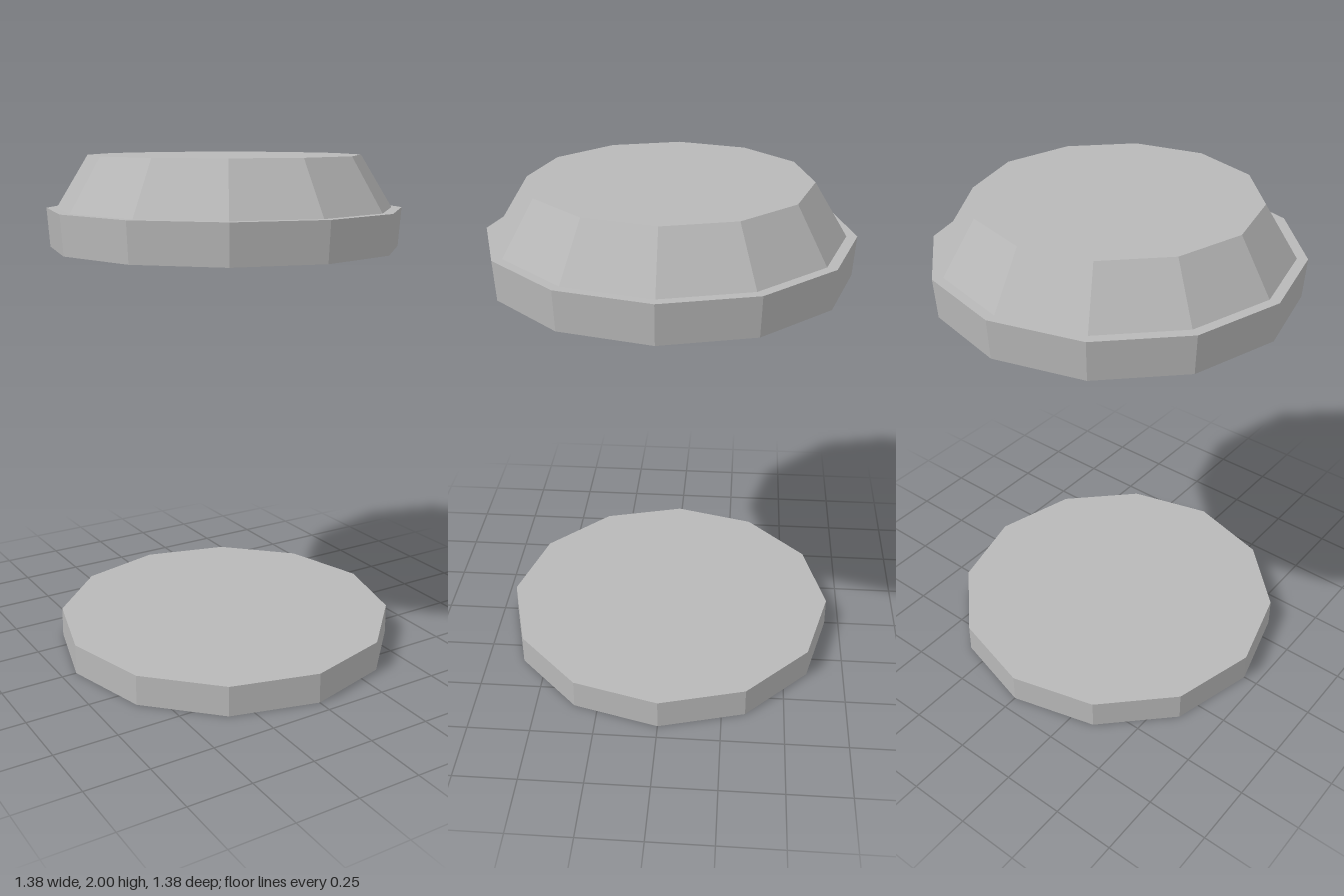
import * as THREE from 'three';

const SIDES = 12;
const metal = new THREE.MeshStandardMaterial({ color: 0xb8b8b8 });
metal.name = 'light grey';

// Twelve-sided faceted solid turned from a [radius, height] profile
function turned(name, profile) {
  const points = profile.map(([r, y]) => new THREE.Vector2(r, y));
  const geometry = new THREE.LatheGeometry(points, SIDES).toNonIndexed();
  geometry.computeVertexNormals();
  const mesh = new THREE.Mesh(geometry, metal);
  mesh.name = name;
  return mesh;
}

export function createModel() {
  const model = new THREE.Group();
  model.name = 'capAndBase';

  // Flat base disc
  model.add(turned('base', [[0, 0], [0.69, 0], [0.69, 0.12], [0, 0.12]]));

  // Floating cap: recessed underside, slightly flared rim, tapered crown
  model.add(turned('cap', [
    [0, 1.765], [0.605, 1.765], [0.605, 1.65],
    [0.68, 1.65], [0.69, 1.8],
    [0.65, 1.8], [0.525, 2], [0, 2],
  ]));

  return model;
}
